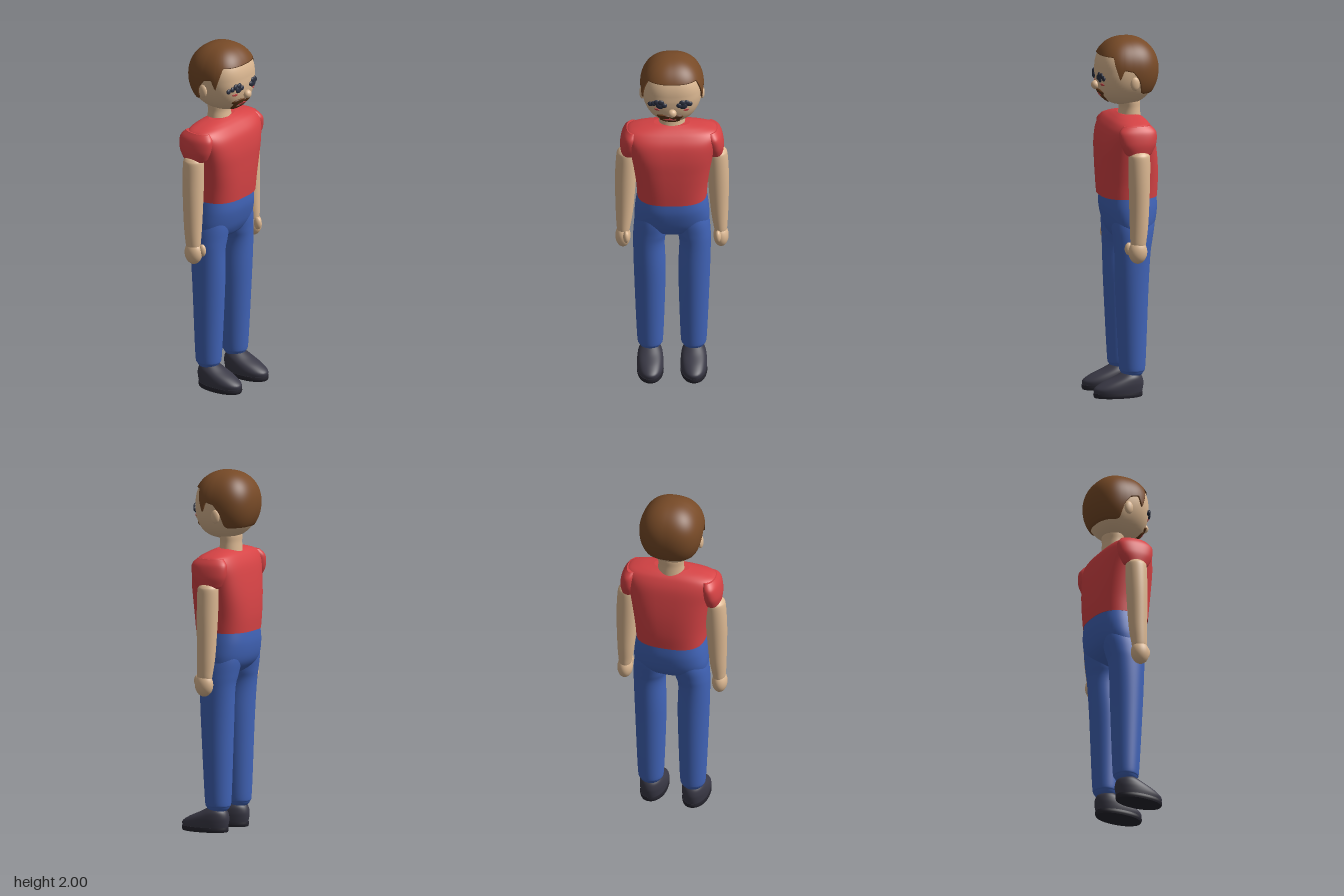
import * as THREE from 'three';

const mat = (name, color) => {
  const m = new THREE.MeshStandardMaterial({ color });
  m.name = name;
  return m;
};

// Smooth closed-round surface from rows of points; rows run upward (or inward for a disc).
function surface(rows, cols, point) {
  const pos = [], idx = [];
  for (let i = 0; i < rows; i++) {
    for (let j = 0; j < cols; j++) pos.push(...point(i, (j / cols) * Math.PI * 2));
  }
  for (let i = 0; i < rows - 1; i++) {
    for (let j = 0; j < cols; j++) {
      const k = (j + 1) % cols, a = i * cols + j, b = i * cols + k;
      idx.push(a, b, b + cols, a, b + cols, a + cols);
    }
  }
  const g = new THREE.BufferGeometry();
  g.setAttribute('position', new THREE.Float32BufferAttribute(pos, 3));
  g.setIndex(idx);
  g.computeVertexNormals();
  return g;
}

const spow = (v, n) => Math.sign(v) * Math.pow(Math.abs(v), 2 / n);

// Loft upward through sections [y, centreX, halfWidth, zFront, zBack, squareness].
function loft(sections, cols = 48, steps = 6) {
  const at = (i) => sections[Math.min(Math.max(i, 0), sections.length - 1)];
  const rows = [];
  for (let i = 0; i < sections.length - 1; i++) {
    for (let s = 0; s < steps + (i === sections.length - 2 ? 1 : 0); s++) {
      const t = s / steps;
      rows.push(at(i).map((b, k) => {
        const a = at(i - 1)[k], c = at(i + 1)[k], d = at(i + 2)[k];
        return b + 0.5 * t * (c - a + t * (2 * a - 5 * b + 4 * c - d + t * (3 * (b - c) + d - a)));
      }));
    }
  }
  // flat caps: a repeated rim keeps the edge sharp, then a collapsed row
  const cap = (r) => [[...r], [r[0], r[1], 0, (r[3] + r[4]) / 2, (r[3] + r[4]) / 2, 2]];
  const all = [...cap(rows[0]).reverse(), ...rows, ...cap(rows[rows.length - 1])];
  return surface(all.length, cols, (i, a) => {
    const [y, cx, hx, zf, zb, n] = all[i];
    return [cx + hx * spow(Math.sin(a), n), y, (zf + zb) / 2 + ((zf - zb) / 2) * spow(Math.cos(a), n)];
  });
}

// Head form, shared by the skull, hair and face details.
const TOP = 1.992, MID = 1.82, LOW = 1.62, CZ = -0.02, SQ = 2.5;
const fall = (u, n) => Math.pow(Math.max(0, 1 - Math.pow(u, n)), 1 / n);
function headSize(y) {
  if (y >= MID) {
    const s = fall((y - MID) / (TOP - MID), 2.2);
    return [0.168 * s, 0.166 * s, 0.17 * s];
  }
  const u = (MID - y) / (MID - LOW);
  return [0.168 * fall(u, 2.1), 0.168 * fall(u, 2.7), 0.17 * fall(u, 2)];
}
function headPoint(a, y, off = 0) {
  const [hx, hf, hb] = headSize(y), c = Math.cos(a);
  const up = Math.max(0, (y - MID) / (TOP - MID));
  const k = off * Math.sqrt(Math.max(0, 1 - up * up));
  return [(hx + k) * spow(Math.sin(a), SQ), y + off * up * up, CZ + ((c > 0 ? hf : hb) + k) * spow(c, SQ)];
}
function faceZ(x, y) {
  const [hx, hf] = headSize(y);
  return CZ + hf * fall(Math.min(1, Math.abs(x) / hx), SQ);
}
// Thin domed patch that follows the face; inner > 0 leaves a hole.
function facePatch(cx, cy, hx, hy, lift, inner = 0, n = 2) {
  return surface(9, 32, (i, a) => {
    const r = 1 - (1 - inner) * (i / 8);
    const x = cx + hx * r * spow(Math.cos(a), n), y = cy + hy * r * spow(Math.sin(a), n);
    const edge = i === 0 || (inner > 0 && i === 8);
    return [x, y, faceZ(x, y) + (edge ? 0.0005 : lift)];
  });
}
function ellipsoid(c, r) {
  return new THREE.SphereGeometry(1, 28, 20).scale(...r).translate(...c);
}

// Hairline height by depth along the head, from front to nape.
const HAIRLINE = [[0.09, 1.905], [0.07, 1.84], [0.05, 1.78], [0.028, 1.838], [-0.02, 1.825],
  [-0.055, 1.78], [-0.08, 1.705], [-0.1, 1.695]];
function hairline(z) {
  if (z >= HAIRLINE[0][0]) return HAIRLINE[0][1];
  for (let i = 1; i < HAIRLINE.length; i++) {
    const [z0, y0] = HAIRLINE[i - 1], [z1, y1] = HAIRLINE[i];
    if (z >= z1) return y1 + ((y0 - y1) * (z - z1)) / (z0 - z1);
  }
  return 1.695;
}

export function createModel() {
  const skin = mat('skin', 0xdcb892), shirt = mat('shirt red', 0xd64345), denim = mat('trouser blue', 0x4164b8);
  const hair = mat('hair brown', 0x774a27), shoe = mat('shoe charcoal', 0x3a3946), sole = mat('sole dark', 0x26252e);
  const lash = mat('eye dark', 0x2b3040), beard = mat('beard brown', 0x5f3719), blush = mat('cheek red', 0xc8484a);
  const model = new THREE.Group();
  model.name = 'standingMan';
  const add = (name, geometry, material) => {
    const m = new THREE.Mesh(geometry, material);
    m.name = name;
    model.add(m);
    return m;
  };

  // head, hair and neck
  add('head', surface(41, 72, (i, a) => {
    const y = LOW + ((TOP - LOW) * (1 - Math.cos((i / 40) * Math.PI))) / 2;
    return headPoint(a, y);
  }), skin);
  add('hair', surface(34, 144, (i, a) => {
    const nominal = CZ + 0.168 * spow(Math.cos(a), SQ), low = hairline(nominal);
    if (i === 0) return headPoint(a, low, -0.006);
    const t = Math.sin((((i - 1) / 32) * Math.PI) / 2);
    return headPoint(a, low + (TOP - low) * t, 0.008);
  }), hair);
  add('neck', loft([[1.54, 0, 0.075, 0.025, -0.105, 2], [1.6, 0, 0.072, 0.015, -0.1, 2],
    [1.65, 0, 0.075, 0.02, -0.1, 2], [1.69, 0, 0.06, 0.01, -0.08, 2]]), skin);
  add('nose', ellipsoid([0, 1.735, 0.153], [0.024, 0.024, 0.022]), skin);

  // eyes made of dark rounded tufts, with small red marks below
  const tufts = [[-0.035, 1.785, 0.017], [-0.018, 1.797, 0.018], [0.004, 1.799, 0.018], [0.022, 1.783, 0.016], [0, 1.78, 0.024]];
  for (const [eyeX, name] of [[0.06, 'leftEye'], [-0.066, 'rightEye']]) {
    for (const [dx, y, r] of tufts) {
      const x = eyeX + dx * Math.sign(eyeX) * -1;
      add(name, ellipsoid([x, y, faceZ(x, y) + 0.001], [r, r * 0.9, 0.009]), lash);
    }
    add('cheekMark', facePatch(eyeX + Math.sign(eyeX) * 0.018, 1.748, 0.015, 0.007, 0.004), blush);
  }
  add('rightEyeCorner', ellipsoid([-0.118, 1.775, faceZ(-0.118, 1.775)], [0.017, 0.015, 0.009]), lash);

  // moustache, goatee and mouth
  add('goatee', facePatch(-0.012, 1.673, 0.058, 0.038, 0.007, 0.62), beard);
  add('chinTuft', facePatch(-0.012, 1.652, 0.042, 0.02, 0.008), beard);
  for (const s of [-1, 1]) {
    add('moustache', facePatch(-0.012 + s * 0.034, 1.698, 0.04, 0.017, 0.009), beard);
  }
  add('mouth', facePatch(-0.012, 1.678, 0.036, 0.008, 0.01), blush);

  // torso
  add('shirtBody', loft([
    [1.115, 0, 0.192, 0.13, -0.183, 2.7], [1.2, 0, 0.198, 0.135, -0.187, 2.8],
    [1.3, 0, 0.212, 0.137, -0.182, 3], [1.4, 0, 0.23, 0.134, -0.168, 3.2],
    [1.48, 0, 0.25, 0.116, -0.15, 3.2], [1.53, 0, 0.25, 0.082, -0.125, 3],
    [1.555, 0, 0.19, 0.05, -0.1, 2.6], [1.57, 0, 0.1, 0.02, -0.07, 2.2]], 64), shirt);
  add('trouserHips', loft([
    [0.865, 0, 0.04, 0.01, -0.06, 2], [0.885, 0, 0.12, 0.055, -0.1, 2.2],
    [0.92, 0, 0.192, 0.08, -0.143, 2.4], [0.97, 0, 0.206, 0.1, -0.17, 2.5],
    [1.05, 0, 0.2, 0.117, -0.183, 2.6], [1.125, 0, 0.188, 0.116, -0.18, 2.6]], 64), denim);

  // paired limbs
  for (const [s, side] of [[1, 'left'], [-1, 'right']]) {
    const limb = (name, rows, material) =>
      add(side + name, loft(rows.map(([y, x, ...rest]) => [y, s * x, ...rest])), material);

    limb('Sleeve', [[1.375, 0.238, 0.042, 0.035, -0.095, 2], [1.39, 0.238, 0.045, 0.05, -0.108, 2],
      [1.44, 0.235, 0.051, 0.072, -0.13, 2.2], [1.5, 0.228, 0.046, 0.078, -0.132, 2.2],
      [1.535, 0.215, 0.036, 0.05, -0.105, 2]], shirt);
    limb('Arm', [[0.87, 0.268, 0.033, 0.022, -0.06, 2], [0.9, 0.267, 0.038, 0.025, -0.065, 2],
      [1.0, 0.262, 0.048, 0.027, -0.077, 2], [1.2, 0.256, 0.058, 0.03, -0.087, 2],
      [1.35, 0.251, 0.056, 0.03, -0.09, 2], [1.385, 0.25, 0.046, 0.022, -0.082, 2],
      [1.4, 0.25, 0.025, 0, -0.06, 2]], skin);
    add(side + 'Hand', ellipsoid([s * 0.27, 0.838, -0.016], [0.042, 0.066, 0.053]), skin);
    add(side + 'Thumb', ellipsoid([s * 0.252, 0.855, 0.03], [0.018, 0.036, 0.024]), skin);

    limb('TrouserLeg', [[0.115, 0.12, 0.045, 0.02, -0.07, 2], [0.14, 0.12, 0.063, 0.04, -0.09, 2],
      [0.2, 0.12, 0.073, 0.05, -0.1, 2], [0.6, 0.122, 0.087, 0.07, -0.115, 2],
      [0.8, 0.127, 0.087, 0.075, -0.125, 2.1], [0.88, 0.118, 0.094, 0.08, -0.138, 2.2],
      [0.96, 0.108, 0.095, 0.086, -0.152, 2.2], [1.05, 0.1, 0.08, 0.08, -0.15, 2.2]], denim);

    limb('Shoe', [[0.024, 0.12, 0.07, 0.19, -0.08, 2.1], [0.05, 0.12, 0.073, 0.19, -0.086, 2.1],
      [0.08, 0.12, 0.071, 0.145, -0.088, 2.1], [0.11, 0.12, 0.063, 0.077, -0.08, 2],
      [0.135, 0.12, 0.045, 0.03, -0.06, 2]], shoe);
    limb('ShoeSole', [[0, 0.12, 0.071, 0.19, -0.08, 2.1], [0.012, 0.12, 0.074, 0.195, -0.084, 2.1],
      [0.026, 0.12, 0.073, 0.194, -0.083, 2.1]], sole);

    add(side + 'Ear', ellipsoid([s * 0.165, 1.76, -0.03], [0.015, 0.038, 0.026]), skin);
  }
  return model;
}
